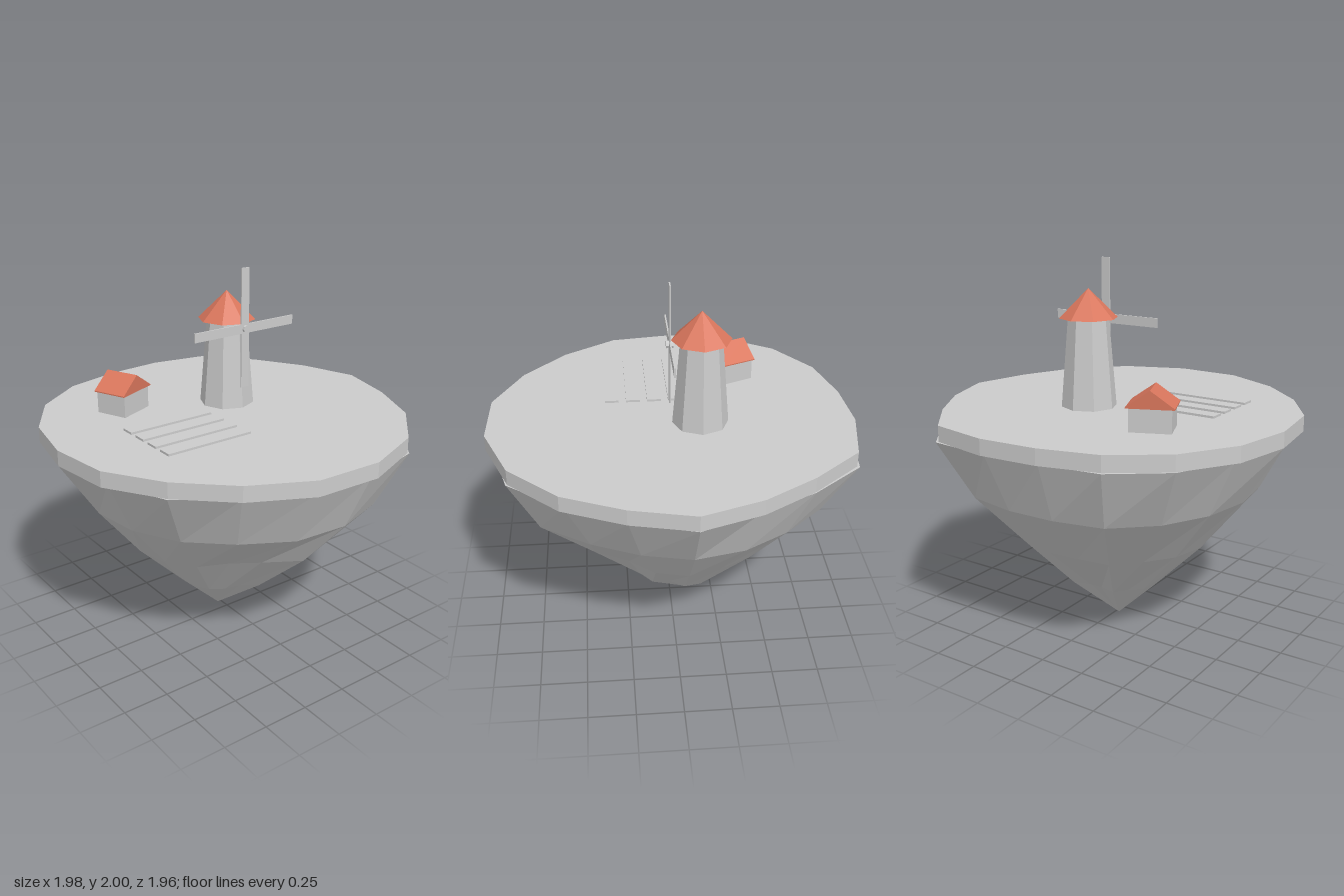
import * as THREE from 'three';

const grey = new THREE.MeshStandardMaterial({ color: 0xcccccc, flatShading: true, side: THREE.DoubleSide });
const roofRed = new THREE.MeshStandardMaterial({ color: 0xd9765c, flatShading: true, side: THREE.DoubleSide });

// Depth of the island axis, and height of the ground
const CZ = -0.065, GROUND = 1.223;

function add(parent, name, geometry, material, x = 0, y = 0, z = 0) {
  const mesh = new THREE.Mesh(geometry, material);
  mesh.name = name;
  mesh.position.set(x, y, z);
  parent.add(mesh);
  return mesh;
}

// Ring of points around the island axis, angle counted from +z towards +x
function ring(y, radii) {
  return radii.map((r, i) => {
    const a = ((i + 0.5) / radii.length) * Math.PI * 2;
    return [r * Math.sin(a), y, CZ + r * Math.cos(a)];
  });
}

// Closed skin through a stack of rings listed from top to bottom, ending in a tip point
function loft(rings, tip) {
  const n = rings[0].length, index = [];
  const points = rings.flat();
  const last = (rings.length - 1) * n;
  for (let k = 0; k < rings.length - 1; k++) {
    for (let i = 0; i < n; i++) {
      const j = (i + 1) % n, a = k * n + i, b = k * n + j;
      index.push(a, a + n, b, b, a + n, b + n);
    }
  }
  const top = points.push([0, rings[0][0][1], CZ]) - 1;
  const bottom = points.push(tip) - 1;
  for (let i = 0; i < n; i++) {
    const j = (i + 1) % n;
    index.push(top, i, j, bottom, last + j, last + i);
  }
  const g = new THREE.BufferGeometry();
  g.setAttribute('position', new THREE.Float32BufferAttribute(points.flat(), 3));
  g.setIndex(index);
  const flat = g.toNonIndexed();
  flat.computeVertexNormals();
  return flat;
}

function createIsland() {
  const island = new THREE.Group();
  island.name = 'island';

  // Uneven flat ground slab
  const rim = [1.06, 1.05, 1.011, 0.97, 0.987, 0.934, 0.925, 0.985, 0.931,
    0.911, 0.945, 0.973, 0.985, 0.99, 1.005, 0.99, 1.008, 1.05];
  add(island, 'ground', loft([ring(GROUND, rim), ring(1.138, rim)], [0, 1.138, CZ]), grey);

  // Tapering rock in rough rings
  const rock = [
    ring(1.138, [1.025, 1.06, 0.98, 0.96, 0.99, 0.91, 0.93, 1.0, 0.91,
      0.89, 0.96, 0.98, 0.95, 0.99, 0.96, 1.0, 0.975, 1.02]),
    ring(0.815, [0.88, 0.89, 0.8, 0.77, 0.78, 0.77, 0.77, 0.81, 0.765,
      0.76, 0.8, 0.79, 0.78, 0.78, 0.79, 0.8, 0.81, 0.86]),
    ring(0.512, [0.62, 0.57, 0.49, 0.52, 0.53, 0.51, 0.52, 0.53, 0.5,
      0.49, 0.53, 0.51, 0.53, 0.54, 0.53, 0.51, 0.46, 0.5]),
    ring(0.23, [0.305, 0.28, 0.28, 0.23, 0.27, 0.27, 0.25, 0.26, 0.2,
      0.2, 0.25, 0.23, 0.26, 0.26, 0.26, 0.26, 0.25, 0.24]),
  ];
  add(island, 'rock', loft(rock, [-0.02, 0, CZ]), grey);
  return island;
}

function createWindmill() {
  const mill = new THREE.Group();
  mill.name = 'windmill';
  mill.position.set(0.112, 0, -0.155);
  add(mill, 'tower', new THREE.CylinderGeometry(0.11, 0.15, 0.475, 8), grey, 0, 1.46, 0);
  add(mill, 'towerRoof', new THREE.ConeGeometry(0.157, 0.155, 8), roofRed, 0, 1.775, 0);

  // Crossed sails on a short hub
  const sails = new THREE.Group();
  sails.name = 'sails';
  sails.position.set(0, 1.675, 0.163);
  mill.add(sails);
  add(sails, 'hub', new THREE.CylinderGeometry(0.02, 0.02, 0.038, 8), grey).rotation.x = Math.PI / 2;
  for (let i = 0; i < 2; i++) {
    add(sails, 'sail', new THREE.BoxGeometry(0.05, 0.65, 0.008), grey).rotation.z = (i * Math.PI) / 2;
  }
  return mill;
}

function createHouse() {
  const house = new THREE.Group();
  house.name = 'house';
  house.position.set(-0.428, GROUND, -0.375);
  house.rotation.y = 0.4;
  add(house, 'walls', new THREE.BoxGeometry(0.215, 0.125, 0.18), grey, 0, 0.0625, 0);

  // Gable roof with a thin eave
  const gable = new THREE.Shape([[-0.122, 0], [0.122, 0], [0.122, 0.006], [0, 0.092], [-0.122, 0.006]]
    .map(([x, y]) => new THREE.Vector2(x, y + 0.12)));
  add(house, 'houseRoof', new THREE.ExtrudeGeometry(gable, { depth: 0.195, bevelEnabled: false }),
    roofRed, 0, 0, -0.0975);
  return house;
}

export function createModel() {
  const model = new THREE.Group();
  model.name = 'floatingIsland';
  model.add(createIsland(), createWindmill(), createHouse());

  // Field of raised rows
  for (let i = 0; i < 4; i++) {
    add(model, 'fieldRow', new THREE.BoxGeometry(0.5, 0.012, 0.076), grey, -0.355, 1.24, -0.038 + i * 0.1157);
  }
  return model;
}
